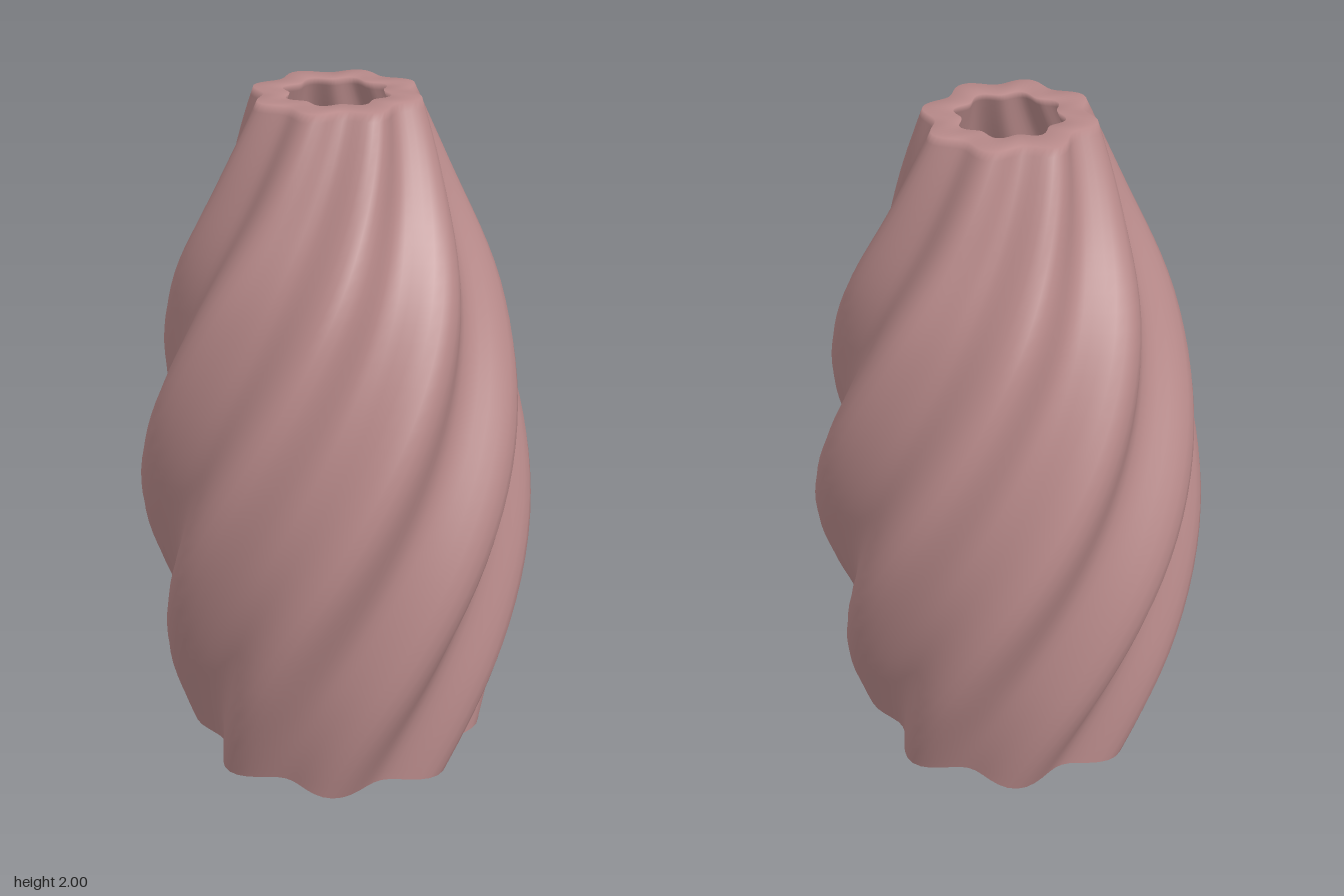
import * as THREE from 'three';

const LOBES = 8, SEGMENTS = 96, RINGS = 40;
const TWIST = Math.PI / 3; // radians per unit of height
const FLUTE = 0.16; // valley depth relative to the ridge radius
const WALL = 0.085, FLOOR = 0.08;

// Ridge radius against height
const profile = new THREE.SplineCurve([
  [0, 0.44], [0.37, 0.53], [0.75, 0.575], [1.1, 0.553], [1.45, 0.467], [1.75, 0.34], [2, 0.238],
].map(([y, r]) => new THREE.Vector2(y, r)));

// One twisted, fluted ring of points at parameter t of the profile
function ring(t, inset) {
  const { x: y, y: ridge } = profile.getPoint(t);
  const points = [];
  for (let j = 0; j < SEGMENTS; j++) {
    const a = (j / SEGMENTS) * Math.PI * 2;
    const valley = 0.5 - 0.5 * Math.cos(LOBES * a);
    const r = (ridge - inset) * (1 - FLUTE * valley);
    const turn = a + TWIST * y;
    points.push([r * Math.sin(turn), y, r * Math.cos(turn)]);
  }
  return points;
}

function geometry(points, index) {
  const g = new THREE.BufferGeometry();
  g.setAttribute('position', new THREE.Float32BufferAttribute(points.flat(), 3));
  g.setIndex(index);
  g.computeVertexNormals();
  return g;
}

// Skin through consecutive rings
function loft(rings) {
  const index = [];
  for (let i = 0; i < rings.length - 1; i++) {
    for (let j = 0; j < SEGMENTS; j++) {
      const k = (j + 1) % SEGMENTS;
      const a = i * SEGMENTS + j, b = i * SEGMENTS + k;
      const c = a + SEGMENTS, d = b + SEGMENTS;
      index.push(a, b, d, a, d, c);
    }
  }
  return geometry(rings.flat(), index);
}

// Flat disc filling a ring
function cap(points, up) {
  const index = [];
  for (let j = 0; j < SEGMENTS; j++) {
    const k = (j + 1) % SEGMENTS;
    index.push(SEGMENTS, up ? j : k, up ? k : j);
  }
  return geometry([...points, [0, points[0][1], 0]], index);
}

export function createModel() {
  const group = new THREE.Group();
  group.name = 'twistedVase';
  const clay = new THREE.MeshStandardMaterial({ color: 0xb88a8a });
  clay.name = 'dusty pink';
  const add = (name, geo) => {
    const mesh = new THREE.Mesh(geo, clay);
    mesh.name = name;
    group.add(mesh);
  };

  // Outer wall up, over the rim and down the inside
  const outer = [], inner = [];
  for (let i = 0; i <= RINGS; i++) {
    const t = i / RINGS;
    outer.push(ring(t, 0));
    inner.unshift(ring(FLOOR + (1 - FLOOR) * t, WALL));
  }
  add('flutedWall', loft([...outer, ...inner]));
  add('base', cap(outer[0], false));
  add('innerFloor', cap(inner[RINGS], true));
  return group;
}
